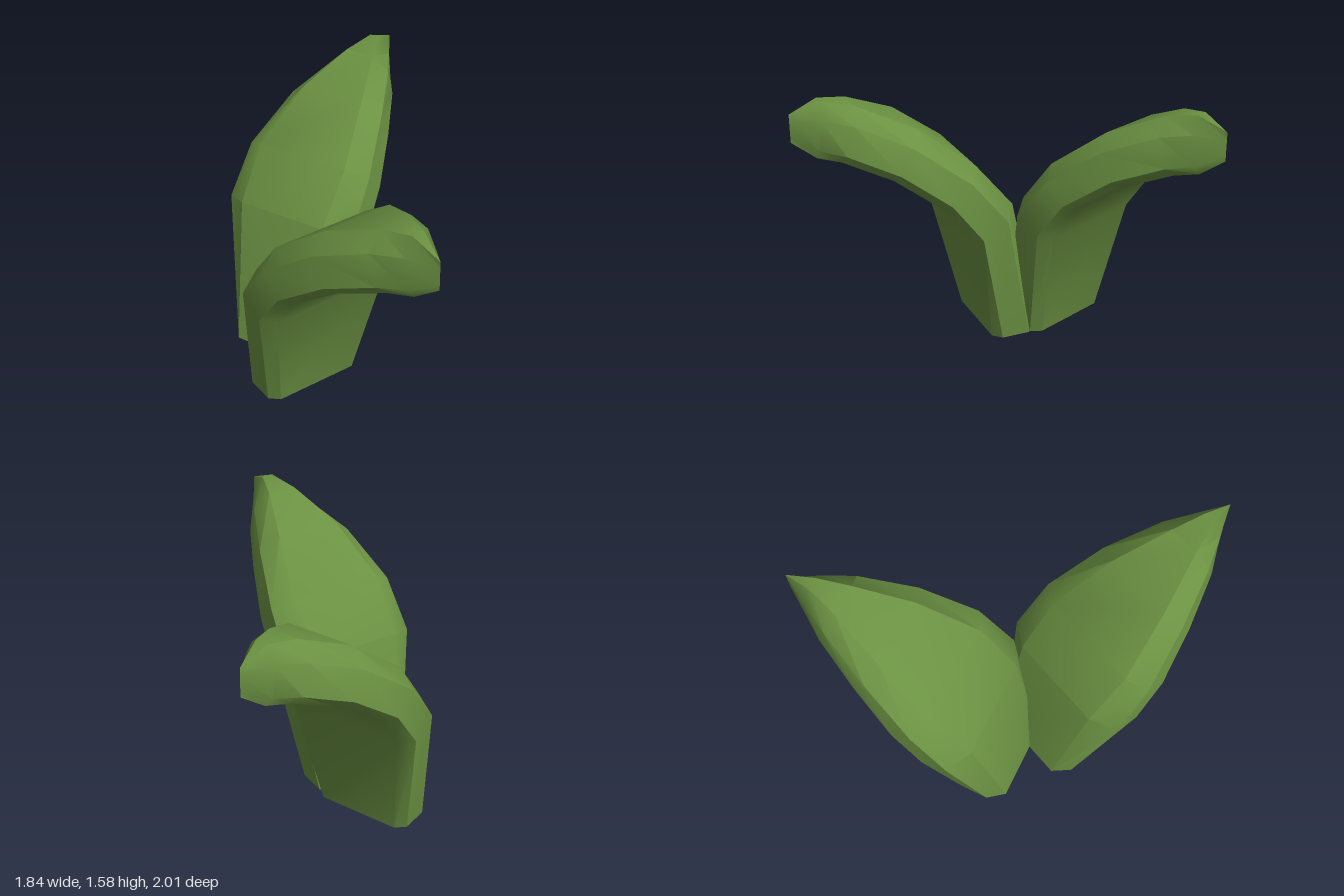
import * as THREE from 'three';
import { toCreasedNormals } from 'three/addons/utils/BufferGeometryUtils.js';

// Stations from base to tip: outer face [z, y], inner face [z, y],
// then half-widths of the outer face, the sides and the inner face
const STATIONS = [
  { outer: [0.41, 0.00], inner: [0.09, 0.00], a: 0.23, w: 0.305, b: 0.25 },
  { outer: [0.22, 0.87], inner: [-0.07, 0.71], a: 0.28, w: 0.425, b: 0.34 },
  { outer: [-0.01, 1.15], inner: [-0.24, 0.94], a: 0.29, w: 0.41, b: 0.33 },
  { outer: [-0.34, 1.40], inner: [-0.49, 1.12], a: 0.20, w: 0.31, b: 0.24 },
  { outer: [-0.65, 1.54], inner: [-0.75, 1.23], a: 0.09, w: 0.18, b: 0.12 },
  { outer: [-0.83, 1.575], inner: [-0.87, 1.25], a: 0.035, w: 0.09, b: 0.05 },
  { outer: [-1.00, 1.51], inner: [-1.00, 1.345], a: 0, w: 0, b: 0 },
];

// Thick bevelled leaf: eight-sided sections swept along a backward bend
function leafGeometry() {
  const positions = [];
  const index = [];
  for (const { outer, inner, a, w, b } of STATIONS) {
    const half = [[a, 0], [w, 0.3], [w, 0.84], [b, 1]];
    const ring = [...half, ...half.map(([x, t]) => [-x, t]).reverse()];
    for (const [x, t] of ring) {
      positions.push(
        x,
        THREE.MathUtils.lerp(outer[1], inner[1], t),
        THREE.MathUtils.lerp(outer[0], inner[0], t)
      );
    }
  }
  const n = 8;
  for (let i = 0; i < STATIONS.length - 1; i++) {
    for (let j = 0; j < n; j++) {
      const k = (j + 1) % n;
      const p = i * n + j, q = i * n + k;
      index.push(p, q, q + n, p, q + n, p + n);
    }
  }
  // Flat base cap
  for (let j = 1; j < n - 1; j++) index.push(0, j + 1, j);

  const geometry = new THREE.BufferGeometry();
  geometry.setAttribute('position', new THREE.Float32BufferAttribute(positions, 3));
  geometry.setIndex(index);
  return toCreasedNormals(geometry, 0.7);
}

export function createModel() {
  const group = new THREE.Group();
  group.name = 'leafPair';
  const geometry = leafGeometry();
  const material = new THREE.MeshStandardMaterial({ color: 0x6b9142 });

  const addLeaf = (name, x, z, turn) => {
    const leaf = new THREE.Mesh(geometry, material);
    leaf.name = name;
    leaf.position.set(x, 0, z);
    leaf.rotation.y = turn;
    group.add(leaf);
  };
  addLeaf('backLeaf', -0.495, 0, 0);
  addLeaf('sideLeaf', -0.005, 0.543, -1.968);
  return group;
}
